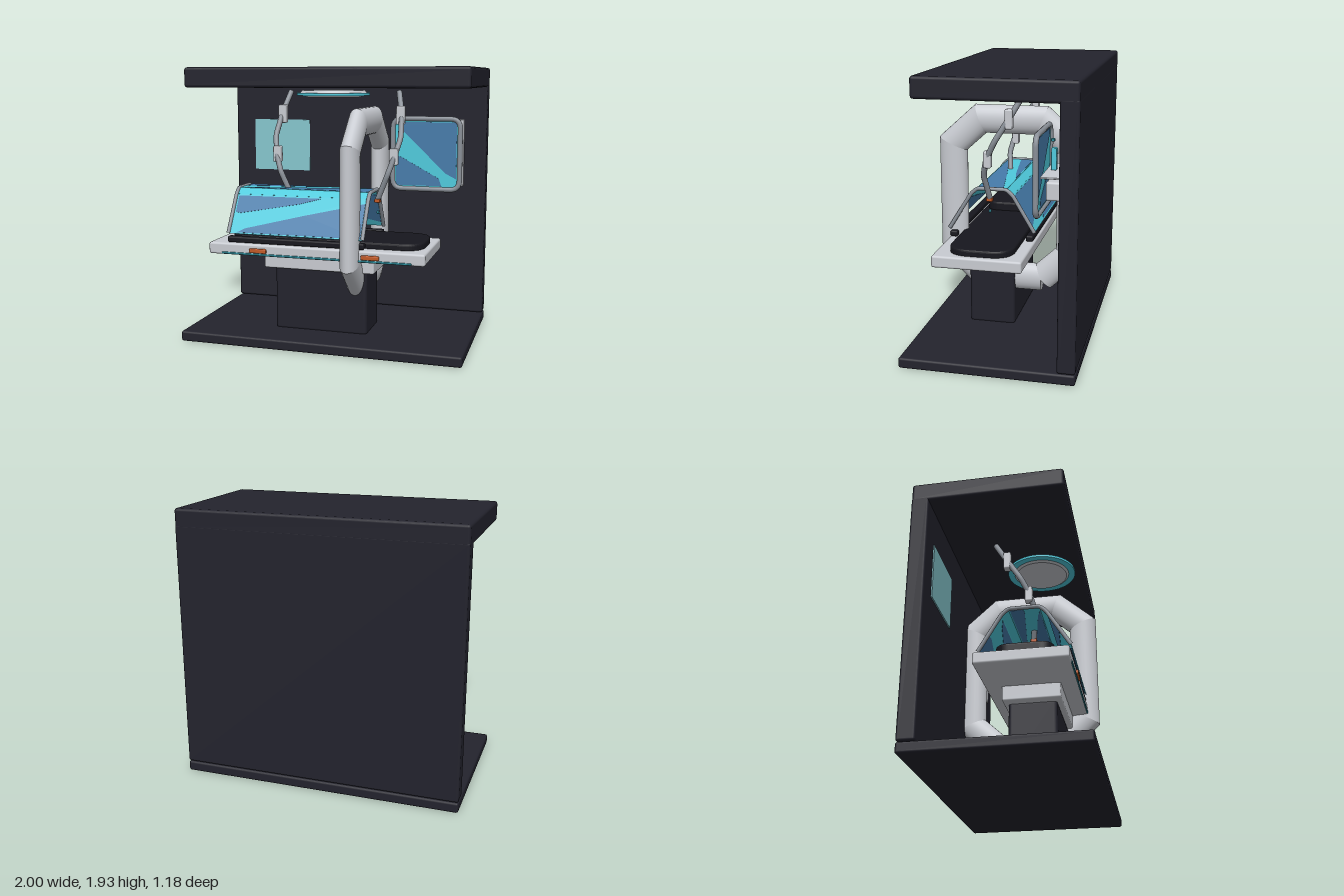
import * as THREE from 'three';
import { RoundedBoxGeometry } from 'three/addons/geometries/RoundedBoxGeometry.js';

const mat = (name, color, side = THREE.FrontSide) => {
  const m = new THREE.MeshStandardMaterial({ color, side });
  m.name = name;
  return m;
};

export function createModel() {
  const model = new THREE.Group();
  const dark = mat('charcoal', 0x23232d);
  const black = mat('black padding', 0x17171e);
  const white = mat('light grey', 0xc9ccd2);
  const steel = mat('steel grey', 0x8b9199);
  const cyan = mat('cyan', 0x4fcbdd, THREE.DoubleSide);
  const blue = mat('glass blue', 0x467cab, THREE.DoubleSide);
  const pale = mat('pale teal', 0x86c6ce, THREE.DoubleSide);
  const teal = mat('teal trim', 0x2f93a3);
  const orange = mat('orange', 0xc25a26);

  const add = (name, geo, m, parent = model) => {
    const mesh = new THREE.Mesh(geo, m);
    mesh.name = name;
    parent.add(mesh);
    return mesh;
  };
  // Bevelled box given by its limits on each axis
  const box = (name, m, [x0, x1], [y0, y1], [z0, z1], r = 0.015, parent = model) => {
    const b = add(name, new RoundedBoxGeometry(x1 - x0, y1 - y0, z1 - z0, 2, r), m, parent);
    b.position.set((x0 + x1) / 2, (y0 + y1) / 2, (z0 + z1) / 2);
    return b;
  };
  const V = (p) => new THREE.Vector3(...p);
  // Round tube through straight runs, with slightly eased corners
  const tube = (name, m, pts, r, parent = model, ease = 0.03, closed = false) => {
    const path = new THREE.CurvePath();
    const v = pts.map(V), n = v.length;
    const toward = (a, b) => a.clone().add(b.clone().sub(a).setLength(ease));
    let prev = closed ? toward(v[0], v[1]) : v[0];
    const stop = closed ? n : n - 2;
    for (let i = 1; i <= stop; i++) {
      const c = v[i % n], a = toward(c, v[i - 1]), b = toward(c, v[(i + 1) % n]);
      path.add(new THREE.LineCurve3(prev, a));
      path.add(new THREE.QuadraticBezierCurve3(a, c, b));
      prev = b;
    }
    if (!closed) path.add(new THREE.LineCurve3(prev, v[n - 1]));
    return add(name, new THREE.TubeGeometry(path, 90, r, 10, closed), m, parent);
  };
  // Glass pane facing +z with blue reflection patches in unit coordinates
  const pane = (name, w, h, patches) => {
    const g = new THREE.Group();
    g.name = name;
    add('glass', new THREE.BoxGeometry(w, h, 0.004), cyan, g);
    patches.forEach((pts) => {
      const s = new THREE.Shape(pts.map(([x, y]) => new THREE.Vector2(x * w, y * h)));
      const p = add('reflection', new THREE.ExtrudeGeometry(s, { depth: 0.008, bevelEnabled: false }), blue, g);
      p.position.z = -0.004;
    });
    model.add(g);
    return g;
  };

  // Room shell
  box('floorBase', dark, [-1, 1], [0, 0.073], [-0.59, 0.59]);
  box('backWall', dark, [-1, 1], [0.077, 1.82], [-0.59, -0.47]);
  box('roof', dark, [-1, 1], [1.79, 1.93], [-0.59, 0.45], 0.02);

  // Table on its pedestal
  box('pedestal', dark, [-0.39, 0.285], [0.06, 0.53], [-0.035, 0.295], 0.025);
  box('tableCarriage', white, [-0.46, 0.345], [0.515, 0.63], [-0.065, 0.33], 0.012);
  box('tableTop', white, [-0.84, 0.72], [0.617, 0.7], [-0.18, 0.44]);
  box('tableTrim', teal, [-0.74, 0.63], [0.622, 0.637], [0.43, 0.445], 0.004);
  for (const x of [-0.465, 0.345])
    box('tableHandle', orange, [x - 0.063, x + 0.063], [0.64, 0.672], [0.43, 0.456], 0.008);
  for (const z of [0.405, -0.145])
    box('sideRail', black, [-0.7, 0.3], [0.705, 0.748], [z - 0.027, z + 0.027], 0.012);

  // Cushions: rounded plan, extruded upward
  const cushion = (name, x0, x1, z0, z1, y, h, r) => {
    const b = 0.015, w = x1 - x0 - 2 * b, d = z1 - z0 - 2 * b;
    const s = new THREE.Shape();
    s.moveTo(r, 0).lineTo(w - r, 0).quadraticCurveTo(w, 0, w, r).lineTo(w, d - r)
      .quadraticCurveTo(w, d, w - r, d).lineTo(r, d).quadraticCurveTo(0, d, 0, d - r)
      .lineTo(0, r).quadraticCurveTo(0, 0, r, 0);
    const geo = new THREE.ExtrudeGeometry(s, { depth: h - 2 * b, bevelSize: b, bevelThickness: b, bevelSegments: 3 });
    const c = add(name, geo, black);
    c.rotation.x = -Math.PI / 2;
    c.position.set(x0 + b, y + b, z1 - b);
  };
  cushion('mattress', -0.73, 0.68, -0.1, 0.35, 0.69, 0.055, 0.14);
  cushion('pillow', -0.71, -0.3, -0.07, 0.32, 0.735, 0.075, 0.08);

  // Glass canopy over the table, section listed as [z, y]
  const arch = [[0.435, 0.77], [0.275, 1.03], [0.23, 1.07], [0.02, 1.07], [-0.025, 1.03], [-0.18, 0.77]];
  for (const x of [-0.69, 0.29])
    tube('canopyFrame', steel, arch.map(([z, y]) => [x, y, z]), 0.014, model, 0.02);
  const streaks = [
    [[-0.48, 0.46], [0.16, 0.46], [0.0, 0.3], [-0.44, 0.02], [-0.48, 0.04]],
    [[-0.44, -0.47], [-0.38, -0.36], [0.05, 0.02], [0.49, 0.38], [0.49, -0.47]],
  ];
  for (let i = 0; i < 5; i++) {
    const [z0, y0] = arch[i], [z1, y1] = arch[i + 1];
    const p = pane('canopyPane', 0.97, Math.hypot(z1 - z0, y1 - y0), i % 2 ? [] : streaks);
    p.position.set(-0.2, (y0 + y1) / 2, (z0 + z1) / 2);
    p.rotation.x = Math.atan2(z1 - z0, y1 - y0);
  }

  // Scanner ring: mitred oval sweep, open where its ends meet, as [z, y]
  const ring = [[-0.22, 0.415], [-0.42, 0.6], [-0.42, 1.37], [-0.22, 1.55], [0.22, 1.55], [0.42, 1.37],
    [0.42, 0.6], [0.22, 0.415], [-0.22, 0.415]].map(([z, y]) => new THREE.Vector2(z, y));
  const dirs = ring.slice(1).map((p, i) => p.clone().sub(ring[i]).normalize());
  const N = 24;
  const section = (i) => {
    const a = dirs[Math.max(i - 1, 0)], b = dirs[Math.min(i, dirs.length - 1)];
    const t = a.clone().add(b).normalize();
    const reach = 0.1 / t.dot(a);
    return Array.from({ length: N }, (_, k) => {
      const f = (k / N) * Math.PI * 2, o = Math.sin(f) * reach;
      return [0.2 + Math.cos(f) * 0.067, ring[i].y + t.x * o, ring[i].x - t.y * o];
    });
  };
  const ringGroup = new THREE.Group();
  ringGroup.name = 'scannerRing';
  model.add(ringGroup);
  const whiteShell = mat('ring light grey', 0xc9ccd2, THREE.DoubleSide);
  const loft = (name, pos, idx) => {
    const g = new THREE.BufferGeometry();
    g.setAttribute('position', new THREE.Float32BufferAttribute(pos.flat(), 3));
    g.setIndex(idx);
    g.computeVertexNormals();
    add(name, g, whiteShell, ringGroup);
  };
  for (let i = 0; i < dirs.length; i++) {
    const idx = [];
    for (let k = 0; k < N; k++) {
      const n = (k + 1) % N;
      idx.push(k, n, k + N, n, n + N, k + N);
    }
    loft('ringSegment', [...section(i), ...section(i + 1)], idx);
  }
  for (const i of [0, ring.length - 1]) {
    const idx = [];
    for (let k = 1; k < N - 1; k++) idx.push(...(i ? [0, k, k + 1] : [0, k + 1, k]));
    loft('ringEnd', section(i), idx);
  }

  // Mirrored pair of jointed tool arms hanging from above
  for (const s of [1, -1]) {
    const arm = new THREE.Group();
    arm.name = s > 0 ? 'leftToolArm' : 'rightToolArm';
    model.add(arm);
    tube('armTube', steel, [[0.41 * s, 1.76, -0.13], [0.45 * s, 1.6, -0.04], [0.465 * s, 1.44, 0.06],
      [0.435 * s, 1.31, 0.125], [0.395 * s, 1.19, 0.155], [0.32 * s, 1.01, 0.13]], 0.02, arm);
    const clamp = (x, y, z, h) =>
      box('armJoint', white, [x * s - 0.03, x * s + 0.03], [y - h, y + h], [z - 0.026, z + 0.026], 0.01, arm);
    clamp(0.443, 1.595, -0.037, 0.066);
    clamp(0.43, 1.313, 0.115, 0.058);
    box('armTip', orange, [0.32 * s - 0.02, 0.32 * s + 0.02], [0.99, 1.017], [0.11, 0.153], 0.004, arm);
    const drop = add('droplet', new THREE.SphereGeometry(0.009, 10, 8), teal, arm);
    drop.scale.y = 1.5;
    drop.position.set(0.322 * s, 0.92, 0.13);
  }

  // Round ceiling lamp
  const disc = (name, m, r0, r1, y0, y1) => {
    const d = add(name, new THREE.CylinderGeometry(r1, r0, y1 - y0, 48), m);
    d.position.set(0, (y0 + y1) / 2, 0.14);
  };
  disc('lampHousing', white, 0.235, 0.22, 1.752, 1.772);
  disc('lampGlowRing', cyan, 0.255, 0.255, 1.736, 1.754);
  disc('lampLens', white, 0.19, 0.21, 1.724, 1.738);

  // Framed display
  const display = pane('displayGlass', 0.49, 0.5, [
    [[-0.42, 0.47], [0.46, 0.47], [0.46, -0.36], [0.3, -0.28], [-0.42, 0.4]],
    [[-0.46, -0.47], [-0.46, -0.02], [-0.36, -0.06], [0.2, -0.36], [0.24, -0.47]],
  ]);
  display.position.set(0.58, 1.3, -0.295);
  tube('displayFrame', steel, [[0.33, 1.04, -0.295], [0.83, 1.04, -0.295], [0.83, 1.56, -0.295],
    [0.33, 1.56, -0.295]], 0.019, model, 0.07, true);

  // Wall fittings behind the display
  box('wallBoard', white, [0.34, 0.835], [1.05, 1.55], [-0.475, -0.455], 0.005);
  box('wallShelf', white, [0.4, 0.82], [1.293, 1.305], [-0.46, -0.32], 0.004);
  box('wallUnit', white, [0.48, 0.68], [1.115, 1.24], [-0.435, -0.33], 0.015);
  box('unitKnob', orange, [0.56, 0.59], [1.165, 1.19], [-0.335, -0.315], 0.004);
  box('supplyBottle', cyan, [0.58, 0.62], [1.305, 1.45], [-0.39, -0.353], 0.006);
  box('bottleCap', teal, [0.59, 0.61], [1.49, 1.51], [-0.375, -0.35], 0.004);

  // Flat wall screen
  const screen = add('wallScreen', new THREE.BoxGeometry(0.46, 0.4, 0.008), pale);
  screen.position.set(-0.61, 1.33, -0.464);

  return model;
}
